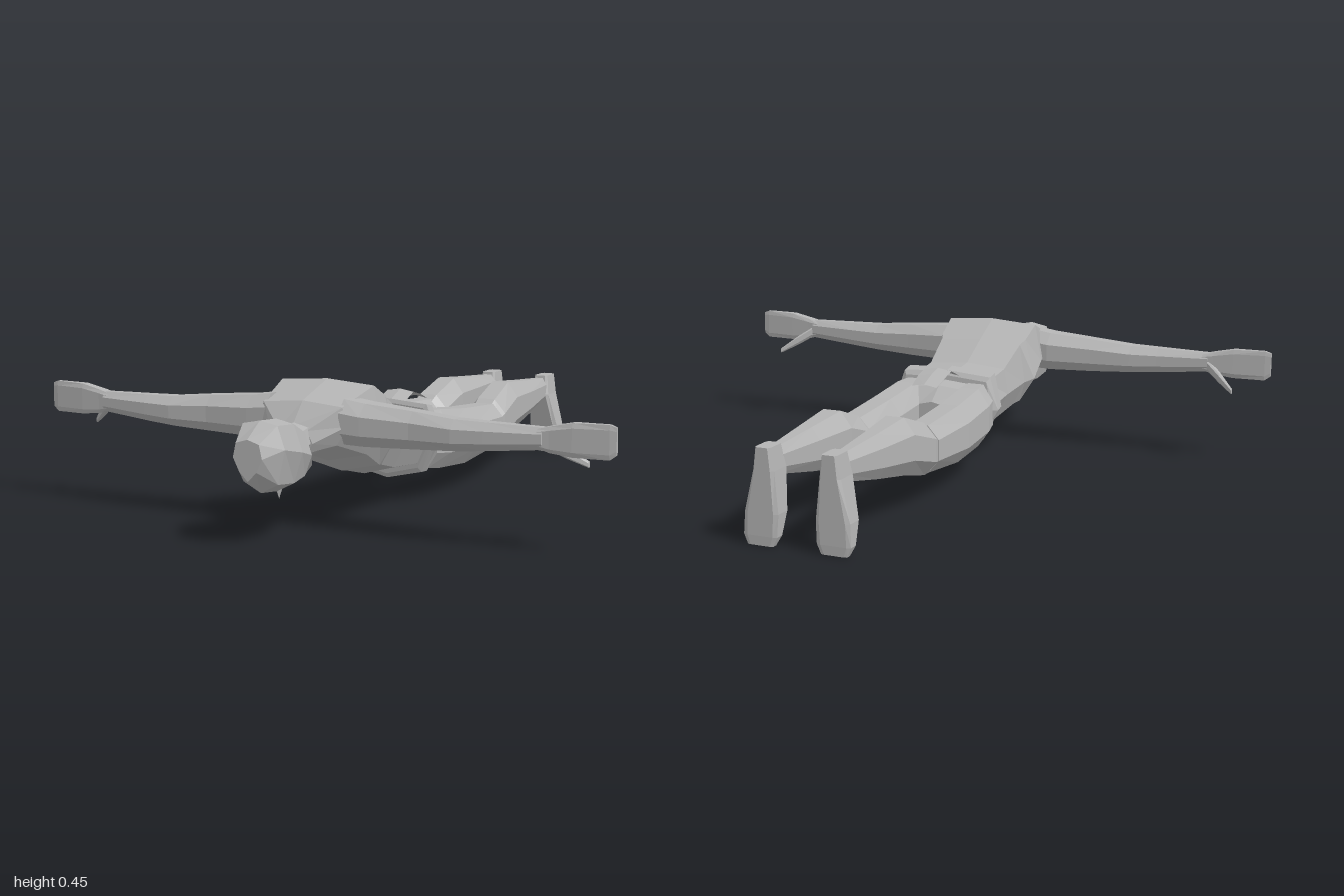
import * as THREE from 'three';

const grey = new THREE.MeshStandardMaterial({ color: 0xb4b4b4, flatShading: true });
grey.name = 'plain grey';
const greySheet = new THREE.MeshStandardMaterial({ color: 0xb4b4b4, flatShading: true, side: THREE.DoubleSide });
greySheet.name = 'plain grey cloth';

// Skin a list of equal-length rings ([x, y, z] points), close both ends, face outwards
function loft(name, rings) {
  const n = rings[0].length, pos = [], idx = [];
  const pts = rings.flat();
  for (const r of [rings[0], rings[rings.length - 1]])
    pts.push([0, 1, 2].map(k => r.reduce((s, p) => s + p[k], 0) / n));
  const c0 = pts.length - 2, c1 = pts.length - 1, last = (rings.length - 1) * n;
  for (let i = 0; i < n; i++) {
    const j = (i + 1) % n;
    for (let r = 0; r < last; r += n) idx.push([r + i, r + j, r + n + j], [r + i, r + n + j, r + n + i]);
    idx.push([c0, j, i], [c1, last + i, last + j]);
  }
  // signed volume decides the winding
  const v = new THREE.Vector3(), w = new THREE.Vector3(), u = new THREE.Vector3();
  let vol = 0;
  for (const [a, b, c] of idx) vol += u.set(...pts[a]).dot(v.set(...pts[b]).cross(w.set(...pts[c])));
  for (const [a, b, c] of idx) pos.push(...pts[a], ...(vol > 0 ? pts[b] : pts[c]), ...(vol > 0 ? pts[c] : pts[b]));
  const g = new THREE.BufferGeometry();
  g.setAttribute('position', new THREE.Float32BufferAttribute(pos, 3));
  g.computeVertexNormals();
  const m = new THREE.Mesh(g, grey);
  m.name = name;
  return m;
}

// Eight-sided body outline: [z, topWidth, topY, midWidth, midY, lowWidth, lowY]
const bodyRing = ([z, wt, yt, wm, ym, wb, yb], lean = 0) => {
  const half = [[wt, yt - 0.012], [wm, ym], [wb, yb + 0.03]];
  return [[0, yt], ...half, [0, yb], ...half.slice().reverse().map(([x, y]) => [-x, y])]
    .map(([x, y]) => [x, y, z + lean * (y - 0.2)]);
};

// Chamfered box outline between two limits on each of two directions
const chamfer = (a0, a1, b0, b1, k = 0.28) => {
  const da = (a1 - a0) * k, db = (b1 - b0) * k;
  return [[a0 + da, b0], [a1 - da, b0], [a1, b0 + db], [a1, b1 - db],
    [a1 - da, b1], [a0 + da, b1], [a0, b1 - db], [a0, b0 + db]];
};
// Limb along x: [x, y0, y1, z0, z1]; limb along z: [z, x0, x1, y0, y1]
const alongX = (s, rows, k) => rows.map(([x, ...r]) => chamfer(...r, k).map(([y, z]) => [s * x, y, z]));
const alongZ = (s, rows, k) => rows.map(([z, ...r]) => chamfer(...r, k).map(([x, y]) => [s * x, y, z]));

// Cloth strip following [y, z, halfWidth] stations
function cloth(name, rows) {
  const g = new THREE.PlaneGeometry(1, 1, 2, rows.length - 1), p = g.attributes.position;
  rows.forEach(([y, z, w], r) => {
    for (let c = 0; c < 3; c++) p.setXYZ(r * 3 + c, (c - 1) * w, y - (c === 1 ? 0 : 0.008), z);
  });
  g.computeVertexNormals();
  const m = new THREE.Mesh(g, greySheet);
  m.name = name;
  return m;
}

export function createModel() {
  const model = new THREE.Group();
  model.name = 'proneFigure';

  // Torso from neck root to pelvis
  model.add(loft('torso', [
    [0.72, 0.05, 0.33, 0.07, 0.28, 0.05, 0.22],
    [0.66, 0.14, 0.40, 0.155, 0.33, 0.12, 0.24],
    [0.51, 0.165, 0.45, 0.19, 0.31, 0.14, 0.19],
    [0.43, 0.16, 0.41, 0.195, 0.26, 0.14, 0.145],
    [0.40, 0.15, 0.395, 0.17, 0.25, 0.13, 0.14],
    [0.28, 0.14, 0.33, 0.155, 0.23, 0.11, 0.11],
    [0.13, 0.14, 0.31, 0.165, 0.22, 0.12, 0.10],
    [0.04, 0.13, 0.295, 0.16, 0.21, 0.11, 0.105],
    [-0.02, 0.05, 0.25, 0.07, 0.2, 0.05, 0.13],
  ].map(r => bodyRing(r))));

  // Neck and head, face down
  model.add(loft('neck', [
    [0.80, 0.045, 0.32, 0.055, 0.27, 0.04, 0.21],
    [0.62, 0.06, 0.36, 0.075, 0.29, 0.05, 0.22],
  ].map(r => bodyRing(r))));
  model.add(loft('head', [
    [0.97, 0.04, 0.325, 0.05, 0.27, 0.03, 0.2],
    [0.90, 0.06, 0.372, 0.085, 0.29, 0.06, 0.155],
    [0.81, 0.06, 0.365, 0.09, 0.27, 0.06, 0.145],
    [0.74, 0.055, 0.33, 0.08, 0.25, 0.055, 0.155],
    [0.70, 0.03, 0.25, 0.055, 0.21, 0.035, 0.155],
  ].map(r => bodyRing(r))));
  const nose = new THREE.Mesh(new THREE.ConeGeometry(0.022, 0.06, 4), grey);
  nose.name = 'nose';
  nose.rotation.x = Math.PI;
  nose.position.set(0, 0.15, 0.80);
  model.add(nose);

  // Belt, leaning slightly
  model.add(loft('belt', [
    [0.142, 0.15, 0.33, 0.175, 0.22, 0.12, 0.085],
    [0.135, 0.16, 0.343, 0.19, 0.22, 0.13, 0.07],
    [0.095, 0.16, 0.335, 0.195, 0.215, 0.13, 0.068],
    [0.085, 0.15, 0.32, 0.175, 0.215, 0.12, 0.085],
  ].map(r => bodyRing(r, 0.1))));

  // Loincloth: short flap behind, long flap in front
  model.add(cloth('backFlap', [[0.325, 0.11, 0.05], [0.358, 0.03, 0.05], [0.345, -0.02, 0.05], [0.322, -0.08, 0.045]]));
  model.add(cloth('frontFlap', [[0.09, 0.1, 0.06], [0.115, -0.05, 0.05], [0.13, -0.29, 0.048]]));

  for (const [side, s] of [['left', 1], ['right', -1]]) {
    // Arm
    model.add(loft(side + 'Arm', alongX(s, [
      [0.13, 0.27, 0.41, 0.54, 0.67],
      [0.20, 0.268, 0.40, 0.535, 0.668],
      [0.36, 0.273, 0.388, 0.55, 0.655],
      [0.50, 0.28, 0.375, 0.56, 0.66],
      [0.60, 0.288, 0.373, 0.568, 0.652],
      [0.78, 0.305, 0.37, 0.58, 0.635],
    ])));
    // Hand with thumb
    model.add(loft(side + 'Hand', alongX(s, [
      [0.76, 0.31, 0.365, 0.582, 0.632],
      [0.80, 0.298, 0.375, 0.585, 0.628],
      [0.87, 0.29, 0.39, 0.588, 0.625],
      [0.98, 0.29, 0.392, 0.596, 0.615],
      [1.0, 0.305, 0.385, 0.6, 0.61],
    ], 0.15)));
    model.add(loft(side + 'Thumb', alongX(s, [
      [0.78, 0.31, 0.345, 0.58, 0.615],
      [0.83, 0.278, 0.31, 0.55, 0.58],
      [0.885, 0.248, 0.265, 0.52, 0.535],
    ], 0.2)));
    // Thigh and calf
    model.add(loft(side + 'Thigh', alongZ(s, [
      [0.10, 0.05, 0.175, 0.11, 0.30],
      [0.03, 0.045, 0.19, 0.10, 0.298],
      [-0.15, 0.05, 0.195, 0.088, 0.278],
      [-0.38, 0.055, 0.19, 0.108, 0.262],
    ])));
    model.add(loft(side + 'Calf', alongZ(s, [
      [-0.36, 0.05, 0.185, 0.105, 0.25],
      [-0.40, 0.042, 0.19, 0.105, 0.275],
      [-0.53, 0.04, 0.178, 0.135, 0.32],
      [-0.70, 0.06, 0.16, 0.165, 0.305],
      [-0.90, 0.08, 0.135, 0.205, 0.29],
    ])));
    // Foot, toes pointing down: rows of [y, x0, x1, z0, z1]
    model.add(loft(side + 'Foot', [
      [0.30, 0.085, 0.135, -0.97, -0.89],
      [0.23, 0.075, 0.145, -0.97, -0.875],
      [0.10, 0.062, 0.175, -0.97, -0.90],
      [0.03, 0.066, 0.178, -0.97, -0.93],
      [0.0, 0.08, 0.165, -0.968, -0.945],
    ].map(([y, ...r]) => chamfer(...r, 0.12).map(([x, z]) => [s * x, y, z]))));
  }
  return model;
}
